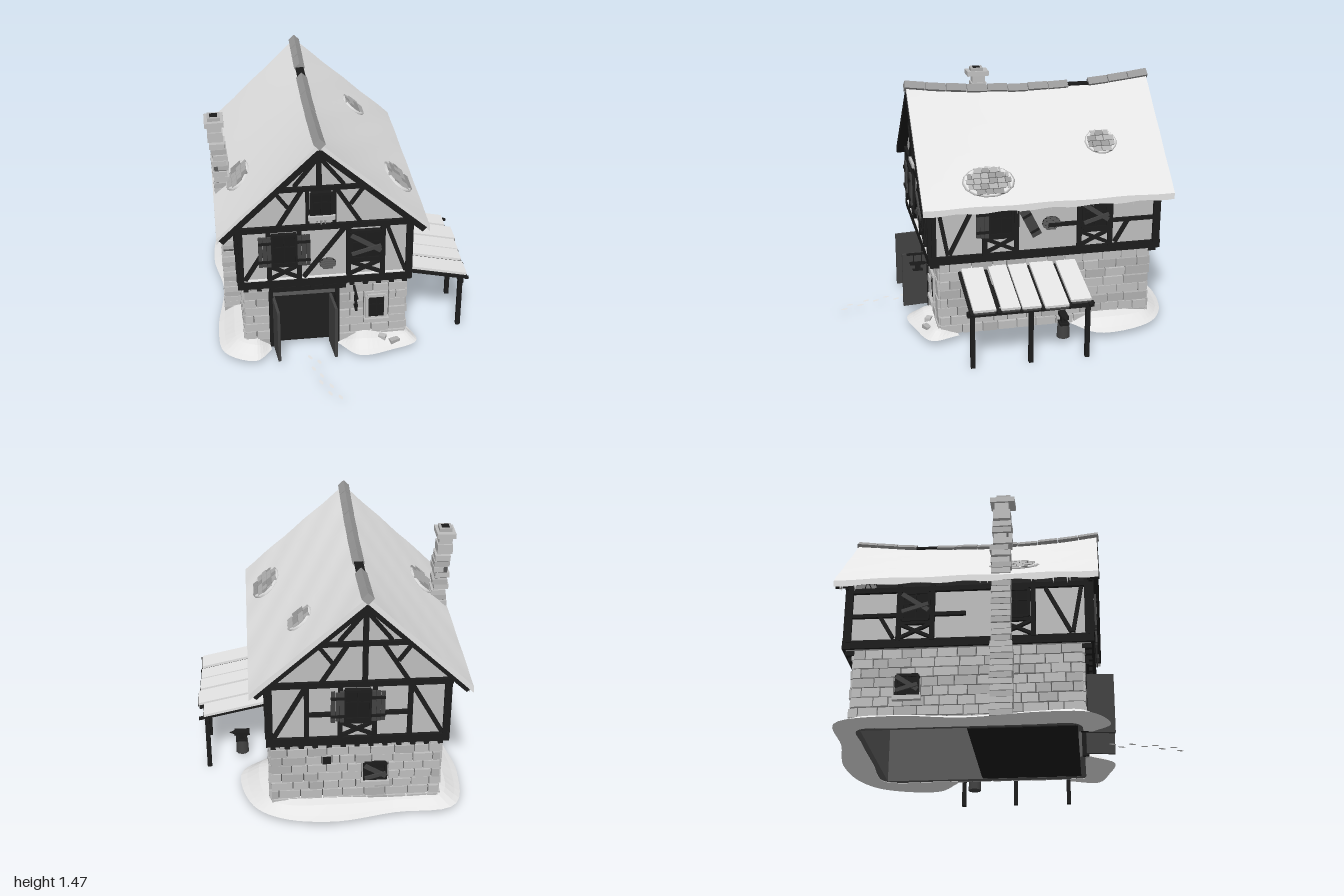
import * as THREE from 'three';
import { mergeGeometries } from 'three/addons/utils/BufferGeometryUtils.js';

const mat = (name, color, extra = {}) => Object.assign(new THREE.MeshStandardMaterial({ color, ...extra }), { name });
const M = {
  snow: mat('snow', 0xe4e4e4, { side: THREE.DoubleSide }), plaster: mat('plaster', 0xbebebe),
  stone: mat('stone', 0xbebebe), stoneDark: mat('dark stone', 0xb0b0b0), mortar: mat('mortar', 0x5a5a5a),
  timber: mat('timber', 0x1c1c1c), wood: mat('weathered wood', 0x424242), black: mat('dark opening', 0x1b1b1b),
  slate: mat('slate', 0x989898),
};
let seed = 7;
const rnd = (a = 0, b = 1) => { seed = (seed * 16807) % 2147483647; return a + (b - a) * seed / 2147483647; };

function add(parent, name, geo, m, x = 0, y = 0, z = 0) {
  const mesh = new THREE.Mesh(geo, m);
  mesh.name = name; mesh.position.set(x, y, z); parent.add(mesh);
  return mesh;
}
const box = (p, name, m, w, h, d, x, y, z) => add(p, name, new THREE.BoxGeometry(w, h, d), m, x, y, z);

// Straight timber between two points of a wall plane
function beam(g, u1, y1, u2, y2, w = 0.028, m = M.timber, d = 0.04, z = 0) {
  const b = box(g, 'beam', m, Math.hypot(u2 - u1, y2 - y1), w, d, (u1 + u2) / 2, (y1 + y2) / 2, z);
  b.rotation.z = Math.atan2(y2 - y1, u2 - u1);
  return b;
}
function wallGroup(root, name, x, z, ry) {
  const g = new THREE.Group();
  g.name = name; g.position.set(x, 0, z); g.rotation.y = ry; root.add(g);
  return g;
}

// Staggered stone courses around openings [u0, u1, first row, end row]; window openings get a stone surround
function bricks(g, u0, u1, holes = []) {
  const lists = [[], []], rows = 8, y0 = 0.04, h = 0.46 / rows;
  for (let r = 0; r < rows; r++) {
    const yc = y0 + (r + 0.5) * h;
    let spans = [[u0, u1]];
    for (const [a, b, c, d] of holes) if (r >= c && r < d)
      spans = spans.flatMap(([s, e]) => [[s, Math.min(e, a)], [Math.max(s, b), e]].filter(q => q[1] - q[0] > 0.01));
    for (const [s, e] of spans) {
      for (let u = s; u < e - 0.005;) {
        let L = (u === s && r % 2 ? 0.5 : 1) * rnd(0.08, 0.14);
        if (e - u - L < 0.04) L = e - u;
        const geo = new THREE.BoxGeometry(L - 0.006, h - rnd(0.004, 0.008), 0.03);
        geo.translate(u + L / 2, yc, rnd(-0.004, 0.005));
        lists[rnd() < 0.7 ? 0 : 1].push(geo);
        u += L;
      }
    }
  }
  lists.forEach((l, i) => l.length && add(g, 'stoneCourses', mergeGeometries(l), i ? M.stoneDark : M.stone));
  for (const [a, b, c, d] of holes) if (d < rows)
    box(g, 'windowSurround', M.stone, b - a - 0.006, (d - c) * h - 0.006, 0.02, (a + b) / 2, y0 + (c + d) * h / 2, 0.002);
}

// Dark pane with frame, glazing bars and optional shutters, boards or stone sill
function windowAt(g, u, y, w, h, { shutters = [], boards = false, sill = false, frame = M.timber } = {}) {
  box(g, 'windowPane', M.black, w, h, 0.03, u, y, 0.004);
  for (const s of [-1, 1]) {
    beam(g, u + s * w / 2, y - h / 2, u + s * w / 2, y + h / 2, 0.016, frame, 0.045, 0.004);
    beam(g, u - w / 2, y + s * h / 2, u + w / 2, y + s * h / 2, 0.018, frame, 0.045, 0.004);
  }
  beam(g, u, y - h / 2, u, y + h / 2, 0.009, M.timber, 0.03, 0.008);
  beam(g, u - w / 2, y + h * 0.1, u + w / 2, y + h * 0.1, 0.009, M.timber, 0.03, 0.008);
  for (const s of shutters) {
    for (const k of [-1, 0, 1]) box(g, 'shutterPlank', M.wood, 0.023, h * rnd(1, 1.1), 0.012, u + s * (w / 2 + 0.042) + k * 0.025, y, 0.032);
    for (const k of [-1, 1]) box(g, 'shutterBatten', M.timber, 0.075, 0.016, 0.008, u + s * (w / 2 + 0.042), y + k * h * 0.32, 0.041);
  }
  if (boards) {
    beam(g, u - w * 0.5, y + h * 0.42, u + w * 0.5, y - h * 0.2, 0.026, M.wood, 0.01, 0.034);
    beam(g, u - w * 0.5, y - h * 0.25, u + w * 0.5, y + h * 0.02, 0.022, M.wood, 0.01, 0.042);
  }
  if (sill) box(g, 'windowSill', M.stone, w + 0.04, 0.025, 0.06, u, y - h / 2 - 0.008, 0.012);
}
function crossBrace(g, a, b) {
  beam(g, a, 0.555, b, 0.645, 0.018); beam(g, a, 0.645, b, 0.555, 0.018);
  beam(g, a, 0.65, b, 0.65, 0.022);
}
// Oval of staggered tiles, or of plain laths, in the local xy plane
function ovalPatch(g, name, rx, ry, u, y, z, laths = false) {
  const p = new THREE.Group(); p.name = name; p.position.set(u, y, z); g.add(p);
  add(p, 'patchBed', new THREE.CylinderGeometry(1, 1, 0.006, 14).rotateX(Math.PI / 2), laths ? M.timber : M.mortar).scale.set(rx, ry, 1);
  const n = Math.max(3, Math.round(ry / (laths ? 0.007 : 0.019))), h = 2 * ry / n;
  for (let i = 0; i < n; i++) {
    const yc = -ry + (i + 0.5) * h, half = rx * Math.sqrt(1 - (yc / ry) ** 2), pitch = laths ? 1 : 0.05;
    for (let a = -half; a < half - 0.004;) {
      let w = a === -half && i % 2 ? pitch * 0.55 : pitch * rnd(0.85, 1.1);
      if (half - a - w < 0.015) w = half - a;
      const m = laths ? M.mortar : rnd() < 0.6 ? M.stoneDark : M.slate;
      box(p, laths ? 'lath' : 'patchTile', m, w - 0.004, h - 0.0035, 0.01, a + w / 2, yc, 0.005);
      a += w;
    }
  }
}
function anvil(parent, s, x, y, z) {
  const g = new THREE.Group(); g.name = 'anvil'; g.position.set(x, y, z); g.scale.setScalar(s); parent.add(g);
  box(g, 'anvilFoot', M.timber, 0.06, 0.012, 0.05, 0, 0.006, 0);
  box(g, 'anvilWaist', M.timber, 0.032, 0.03, 0.03, 0, 0.025, 0);
  box(g, 'anvilTop', M.timber, 0.085, 0.02, 0.04, -0.005, 0.048, 0);
  add(g, 'anvilHorn', new THREE.ConeGeometry(0.012, 0.03, 8).rotateZ(-Math.PI / 2), M.timber, 0.052, 0.048, 0);
  return g;
}
function icicle(parent, r, L, m, x, y, z) {
  add(parent, 'icicle', new THREE.ConeGeometry(r, L, 5).rotateX(Math.PI), m, x, y - L / 2, z);
}

// Sagging roof surface
const AX = -0.168, EAVE = 0.88, ridgeY = z => 1.393 + 0.052 * ((z + 0.2) / 0.75) ** 2;
const eaveLen = s => (s > 0 ? 0.63 : 0.585);
const roofY = (x, z) => { const t = Math.abs(x - AX) / eaveLen(Math.sign(x - AX) || 1); return ridgeY(z) * (1 - t) + EAVE * t; };
function roofSlab(root, name, s, top, bottom, z0, z1, len, m) {
  const geo = new THREE.BoxGeometry(1, 1, 1, 10, 1, 30), p = geo.attributes.position;
  for (let i = 0; i < p.count; i++) {
    const t = s > 0 ? p.getX(i) + 0.5 : 0.5 - p.getX(i), z = z0 + (z1 - z0) * (p.getZ(i) + 0.5), x = AX + s * t * len;
    const ripple = p.getY(i) > 0 ? 0.003 * Math.sin(14 * z + 17 * t) : t > 0.99 ? 0.005 * Math.sin(23 * z) : 0;
    p.setXYZ(i, x, roofY(x, z) + (p.getY(i) > 0 ? top : bottom) + ripple, z);
  }
  geo.computeVertexNormals();
  add(root, name, geo, m);
}

// Snow bank lofted along stations [inner x, inner z, outer x, outer z, height]
function snowBank(root, stations) {
  const curve = f => new THREE.CatmullRomCurve3(stations.map(f));
  const inner = curve(a => new THREE.Vector3(a[0], a[4], a[1])), outer = curve(a => new THREE.Vector3(a[2], 0, a[3]));
  const n = stations.length * 5, pos = [], idx = [];
  for (let i = 0; i <= n; i++) {
    const a = inner.getPoint(i / n), b = outer.getPoint(i / n), h = a.y;
    for (const [k, y] of [[0, 0], [0, h], [0.45, h * 0.75], [0.8, h * 0.22], [1, 0]])
      pos.push(a.x + (b.x - a.x) * k, 0.037 + y, a.z + (b.z - a.z) * k);
    if (i < n) for (let j = 0; j < 5; j++) {
      const p = i * 5 + j, q = i * 5 + (j + 1) % 5;
      idx.push(p, p + 5, q, q, p + 5, q + 5);
    }
  }
  const geo = new THREE.BufferGeometry();
  geo.setAttribute('position', new THREE.Float32BufferAttribute(pos, 3));
  geo.setIndex(idx);
  const flat = geo.toNonIndexed(); flat.computeVertexNormals();
  add(root, 'snowBank', flat, M.snow);
}

export function createModel() {
  const root = new THREE.Group(); root.name = 'timberFramedSmithy';
  const H = Math.PI / 2;

  // Ground floor shell with door opening
  const wall = (x0, x1, z0, z1, y0 = 0.04) => box(root, 'groundWall', M.mortar, x1 - x0, 0.5 - y0, z1 - z0, (x0 + x1) / 2, (0.5 + y0) / 2, (z0 + z1) / 2);
  wall(-0.6, -0.56, -0.83, 0.43); wall(0.3, 0.34, -0.83, 0.43); wall(-0.6, 0.34, -0.83, -0.79);
  wall(-0.6, -0.46, 0.39, 0.43); wall(-0.05, 0.34, 0.39, 0.43); wall(-0.46, -0.05, 0.39, 0.43, 0.44);
  const sf = wallGroup(root, 'stoneFront', 0, 0.435, 0), sr = wallGroup(root, 'stoneRight', 0.345, 0, H);
  const sb = wallGroup(root, 'stoneBack', 0, -0.835, Math.PI), sl = wallGroup(root, 'stoneLeft', -0.605, 0, -H);
  bricks(sf, -0.612, 0.352, [[-0.46, -0.05, 0, 8], [0.1, 0.25, 2, 6]]);
  bricks(sr, -0.44, 0.84, [[-0.145, 0.01, 2, 6]]);
  bricks(sb, -0.352, 0.612, [[0.165, 0.315, 3, 5], [-0.065, -0.005, 5, 6]]);
  bricks(sl, -0.84, 0.44, [[-0.605, -0.455, 3, 5]]);
  windowAt(sf, 0.175, 0.28, 0.11, 0.16, { sill: true, frame: M.stone });
  windowAt(sr, -0.067, 0.26, 0.115, 0.14, { sill: true });
  windowAt(sb, 0.24, 0.27, 0.12, 0.12, { boards: true, sill: true });
  windowAt(sl, -0.53, 0.27, 0.12, 0.13, { boards: true, sill: true });
  box(sb, 'ventHole', M.black, 0.05, 0.05, 0.03, -0.035, 0.355, 0);

  // Workshop interior, forge, door frame and open leaves
  box(root, 'roomBack', M.black, 0.84, 0.45, 0.01, -0.13, 0.27, -0.2);
  box(root, 'roomFloor', M.black, 0.84, 0.01, 0.6, -0.13, 0.043, 0.1);
  for (const x of [-0.55, 0.29]) box(root, 'roomSide', M.black, 0.01, 0.45, 0.6, x, 0.27, 0.1);
  box(root, 'ceiling', M.wood, 0.9, 0.01, 1.2, -0.13, 0.49, -0.2);
  box(root, 'forge', M.stone, 0.155, 0.12, 0.12, -0.295, 0.145, -0.12);
  box(root, 'forgeMouth', M.black, 0.055, 0.06, 0.008, -0.29, 0.115, -0.059);
  box(sf, 'doorLintel', M.timber, 0.45, 0.03, 0.05, -0.235, 0.458, 0.01);
  box(sf, 'doorHead', M.mortar, 0.4, 0.04, 0.03, -0.255, 0.423, 0);
  for (const x of [-0.43, -0.092]) box(root, 'doorLeaf', M.wood, 0.016, 0.35, 0.165, x, 0.215, 0.523).rotation.y = 0.1;
  for (const x of [-0.455, -0.06]) box(sf, 'doorPost', M.timber, 0.025, 0.4, 0.04, x, 0.24, 0);

  // Hanging sign bracket
  box(root, 'signArm', M.timber, 0.012, 0.012, 0.15, 0.04, 0.44, 0.515);
  for (const z of [0.5, 0.55]) box(root, 'signHanger', M.timber, 0.005, 0.06, 0.005, 0.04, 0.41, z);
  const sign = anvil(root, 1, 0.04, 0.33, 0.525);
  sign.rotation.y = H; sign.scale.z = 0.3;

  // Upper storey and gables
  box(root, 'upperStorey', M.plaster, 0.99, 0.38, 1.37, -0.135, 0.69, -0.2);
  const gable = new THREE.Shape([[-0.63, 0.86], [0.36, 0.86], [0.36, 0.93], [AX, 1.405], [-0.63, 0.95]].map(a => new THREE.Vector2(...a)));
  for (const z of [0.465, -0.885]) add(root, 'gableWall', new THREE.ExtrudeGeometry(gable, { depth: 0.02, bevelEnabled: false }), M.plaster, 0, 0, z);
  box(root, 'sillBeamRing', M.timber, 1.02, 0.05, 1.41, -0.135, 0.525, -0.2);
  for (let i = 0; i < 13; i++) for (const z of [0.46, -0.86]) box(root, 'joistEnd', M.timber, 0.028, 0.035, 0.06, -0.6 + i * 0.078, 0.49, z);

  const uf = wallGroup(root, 'frameFront', 0, 0.485, 0), ub = wallGroup(root, 'frameBack', 0, -0.885, Math.PI);
  const ur = wallGroup(root, 'frameRight', 0.36, 0, H), ul = wallGroup(root, 'frameLeft', -0.63, 0, -H);
  const post = (g, us) => us.forEach(u => beam(g, u, 0.54, u, 0.89, 0.027));
  for (const [g, m] of [[uf, 1], [ub, -1]]) {
    const c = m * AX, B = (a, y1, b, y2, w) => beam(g, m * a, y1, m * b, y2, w);
    post(g, [m * -0.62, m * 0.35]);
    B(-0.65, 0.892, 0.41, 0.892, 0.034);
    B(-0.41, 1.142, 0.09, 1.142, 0.026);
    B(AX, 1.14, AX, 1.4, 0.03);
    for (const s of [-1, 1]) {
      beam(g, c, 1.39, c + s * m * (s > 0 ? 0.6 : 0.56), 0.856, 0.034, M.timber, 0.07, 0.025);
      beam(g, c, 1.34, c + s * 0.14, 1.16, 0.02);
      beam(g, c + s * 0.24, 0.9, c + s * 0.1, 1.13, 0.022);
      beam(g, c + s * 0.25, 1.13, c + s * 0.18, 1.03, 0.018);
    }
  }
  beam(ub, -AX, 0.9, -AX, 1.14, 0.03);
  // Front frame
  post(uf, [-0.46, -0.285, 0, 0.2]);
  for (const [a, b, c, d] of [[-0.6, 0.56, -0.48, 0.76], [-0.26, 0.56, -0.02, 0.88], [0.22, 0.88, 0.335, 0.56]]) beam(uf, a, b, c, d, 0.023);
  crossBrace(uf, -0.46, -0.285); crossBrace(uf, 0, 0.2);
  windowAt(uf, -0.372, 0.755, 0.14, 0.19, { shutters: [-1, 1] });
  windowAt(uf, 0.1, 0.755, 0.17, 0.18, { boards: true });
  windowAt(uf, AX + 0.012, 1.04, 0.115, 0.14, { sill: true });
  for (const [i, L] of [0.04, 0.08, 0.06].entries()) icicle(uf, 0.011, L, M.slate, AX - 0.012 + i * 0.023, 0.952, 0.012);
  for (const s of [-1, 1]) beam(uf, AX + 0.01 + s * 0.077, 0.9, AX + 0.01 + s * 0.077, 1.13, 0.02);
  ovalPatch(uf, 'bareLaths', 0.05, 0.036, -0.12, 0.637, 0.003, true);
  box(uf, 'snowLedge', M.snow, 0.94, 0.007, 0.02, -0.135, 0.552, 0.008);
  // Back frame
  post(ub, [-0.15, 0.035, 0.225, 0.42]);
  beam(ub, -0.33, 0.56, -0.16, 0.87, 0.023); beam(ub, 0.6, 0.56, 0.43, 0.87, 0.023);
  beam(ub, -0.15, 0.7, 0.035, 0.7, 0.022); beam(ub, 0.225, 0.7, 0.42, 0.7, 0.022);
  crossBrace(ub, 0.035, 0.225);
  windowAt(ub, 0.13, 0.76, 0.14, 0.18, { shutters: [-1, 1] });
  // Side frames
  for (const [g, m] of [[ur, 1], [ul, -1]]) {
    post(g, [-0.47, -0.17, 0.02, 0.4, 0.59, 0.87].map(u => m * u));
    beam(g, m * -0.48, 0.86, m * 0.88, 0.86, 0.03);
    for (const [a, b, c, d] of [[-0.44, 0.84, -0.39, 0.56], [-0.24, 0.84, -0.38, 0.56], [0.21, 0.7, 0.4, 0.7], [0.59, 0.7, 0.87, 0.7], [0.62, 0.56, 0.7, 0.7]]) beam(g, m * a, b, m * c, d, 0.022);
    crossBrace(g, m * -0.17, m * 0.02); crossBrace(g, m * 0.4, m * 0.59);
    windowAt(g, m * -0.075, 0.75, 0.14, 0.17, { shutters: m > 0 ? [-1] : [] });
    windowAt(g, m * 0.495, 0.75, 0.15, 0.17, { boards: true });
  }
  beam(ur, 0.06, 0.81, 0.14, 0.65, 0.06, M.wood, 0.014, 0.03).name = 'looseShutter';
  for (const k of [0.2, 0.8]) beam(ur, 0.035 + 0.08 * k, 0.797 - 0.16 * k, 0.085 + 0.08 * k, 0.823 - 0.16 * k, 0.014, M.timber, 0.008, 0.039);
  ovalPatch(ur, 'bareLaths', 0.055, 0.042, 0.23, 0.71, 0.003, true);

  // Snowy roof, boards below and ridge caps
  for (const s of [-1, 1]) {
    roofSlab(root, 'roofSnow', s, 0, -0.038, -0.95, 0.54, eaveLen(s), M.snow);
    roofSlab(root, 'roofBoards', s, -0.036, -0.05, -0.93, 0.52, eaveLen(s) - 0.03, M.wood);
    for (let i = 0; i < 9; i++) icicle(root, 0.006, rnd(0.02, 0.05), M.snow, AX + s * (eaveLen(s) - 0.015), 0.855, rnd(-0.93, 0.52));
  }
  for (let i = 0; i < 12; i++) {
    const z = 0.49 - i * 0.126;
    if (i === 8) { box(root, 'ridgeGap', M.black, 0.05, 0.012, 0.14, AX, ridgeY(z) - 0.004, z); continue; }
    const cap = new THREE.Group(); cap.name = 'ridgeCap'; root.add(cap);
    cap.position.set(AX, ridgeY(z) - 0.006 + rnd(-0.003, 0.003), z);
    cap.rotation.x = -Math.atan(0.185 * (z + 0.2));
    box(cap, 'ridgeTile', M.slate, 0.048, 0.048, 0.122, 0, 0, 0).rotation.z = Math.PI / 4;
  }
  // Bare tile spots in the roof snow
  for (const [x, z, rx, rz] of [[0.17, -0.575, 0.075, 0.085], [0.34, 0.14, 0.09, 0.135], [-0.605, 0.06, 0.08, 0.125]]) {
    const s = Math.sign(x - AX), g = wallGroup(root, 'bareRoofSpot', x, z, s * H);
    g.position.y = roofY(x, z) + 0.004;
    const tilt = new THREE.Group(); tilt.name = 'roofSpotTilt'; g.add(tilt);
    tilt.rotation.x = -Math.atan2(eaveLen(s), ridgeY(z) - EAVE);
    ovalPatch(tilt, 'bareTiles', rz, rx, 0, 0, 0.002);
    add(tilt, 'snowRim', new THREE.TorusGeometry(1, 0.16, 5, 14), M.snow).scale.set(rz, rx, 0.07);
  }

  // Crooked chimney in loose courses around a core
  for (let i = 0; i < 32; i++) {
    const y = 0.06 + i * 0.037, w = i < 12 ? 0.105 : 0.088, lean = -0.668 - 0.05 * Math.max(0, (y - 0.45) / 0.85);
    const off = i > 22 ? 0.01 : 0.003;
    box(root, 'chimneyCourse', i % 3 ? M.stone : M.stoneDark, w + rnd(-0.004, 0.004), 0.033, w + 0.02, lean + rnd(-off, off), y, -0.005 + rnd(-off, off)).rotation.y = rnd(-off, off) * 5;
    if (i < 31) box(root, 'chimneyCore', M.mortar, w - 0.02, 0.037, w, lean, y + 0.01, -0.005);
  }
  box(root, 'chimneyNeck', M.stone, 0.09, 0.06, 0.1, -0.722, 1.265, 0); box(root, 'chimneyNeck', M.stone, 0.08, 0.05, 0.08, -0.725, 1.315, 0);
  box(root, 'chimneyCap', M.stone, 0.112, 0.03, 0.14, -0.725, 1.355, 0.005).rotation.z = 0.04;
  box(root, 'chimneyTop', M.stoneDark, 0.075, 0.025, 0.08, -0.725, 1.378, 0.01);
  box(root, 'chimneyFlue', M.black, 0.045, 0.006, 0.045, -0.725, 1.391, 0.01);

  // Lean-to shelter
  const shed = wallGroup(root, 'shelter', 0, 0, 0);
  for (const [z0, z1, e] of [[-0.38, -0.26, 0.735], [-0.24, -0.1, 0.77], [-0.08, 0.03, 0.76], [0.04, 0.15, 0.755], [0.18, 0.31, 0.755]]) {
    const y = 0.462 - 0.23 * (e - 0.35), zc = (z0 + z1) / 2;
    beam(shed, 0.34, 0.46, e, y, 0.016, M.snow, z1 - z0, zc);
    beam(shed, 0.34, 0.447, e + 0.005, y - 0.014, 0.008, M.wood, z1 - z0 - 0.01, zc);
  }
  for (const z of [-0.37, -0.25, -0.09, 0.035, 0.165, 0.32]) beam(shed, 0.34, 0.443, 0.765, 0.35, 0.015, M.timber, 0.018, z);
  box(shed, 'shelterBeam', M.timber, 0.028, 0.028, 0.74, 0.717, 0.337, -0.03);
  for (const z of [0.31, -0.03, -0.365]) box(shed, 'shelterPost', M.timber, 0.027, 0.335, 0.025, 0.717, 0.168, z);
  add(root, 'stump', new THREE.CylinderGeometry(0.036, 0.04, 0.085, 10), M.wood, 0.515, 0.08, -0.275);
  anvil(root, 1.1, 0.52, 0.122, -0.275);

  // Snow banks, fallen stones and footprints
  snowBank(root, [[-0.02, 0.43, -0.06, 0.46, 0.01], [0.08, 0.43, 0.06, 0.6, 0.07], [0.22, 0.43, 0.26, 0.57, 0.05], [0.33, 0.42, 0.42, 0.5, 0.05], [0.33, 0.34, 0.38, 0.33, 0.01]]);
  snowBank(root, [[0.33, -0.36, 0.36, -0.36, 0.01], [0.33, -0.5, 0.52, -0.5, 0.065], [0.33, -0.75, 0.46, -0.82, 0.06], [0.28, -0.82, 0.3, -0.95, 0.06],
    [0, -0.82, 0, -1, 0.06], [-0.35, -0.82, -0.35, -0.94, 0.05], [-0.58, -0.8, -0.7, -0.9, 0.06], [-0.59, -0.55, -0.77, -0.58, 0.06], [-0.59, -0.2, -0.72, -0.2, 0.05],
    [-0.59, 0.15, -0.77, 0.22, 0.06], [-0.59, 0.38, -0.74, 0.48, 0.07], [-0.55, 0.42, -0.56, 0.58, 0.07], [-0.47, 0.43, -0.46, 0.48, 0.02]]);
  box(root, 'fallenStone', M.stoneDark, 0.06, 0.025, 0.035, 0.28, 0.06, 0.51).rotation.y = 0.4;
  box(root, 'fallenStone', M.stone, 0.045, 0.025, 0.035, 0.21, 0.08, 0.49).rotation.y = -0.5;
  [[-0.24, 0.59], [-0.19, 0.64], [-0.23, 0.7], [-0.19, 0.77], [-0.2, 0.83], [-0.145, 0.87], [-0.16, 0.935], [-0.105, 0.975]].forEach(([x, z]) => {
    const f = add(root, 'footprint', new THREE.CircleGeometry(1, 10).rotateX(-H), M.snow, x, 0.041, z);
    f.scale.set(0.01, 1, 0.022); f.rotation.y = 0.35;
  });
  return root;
}
